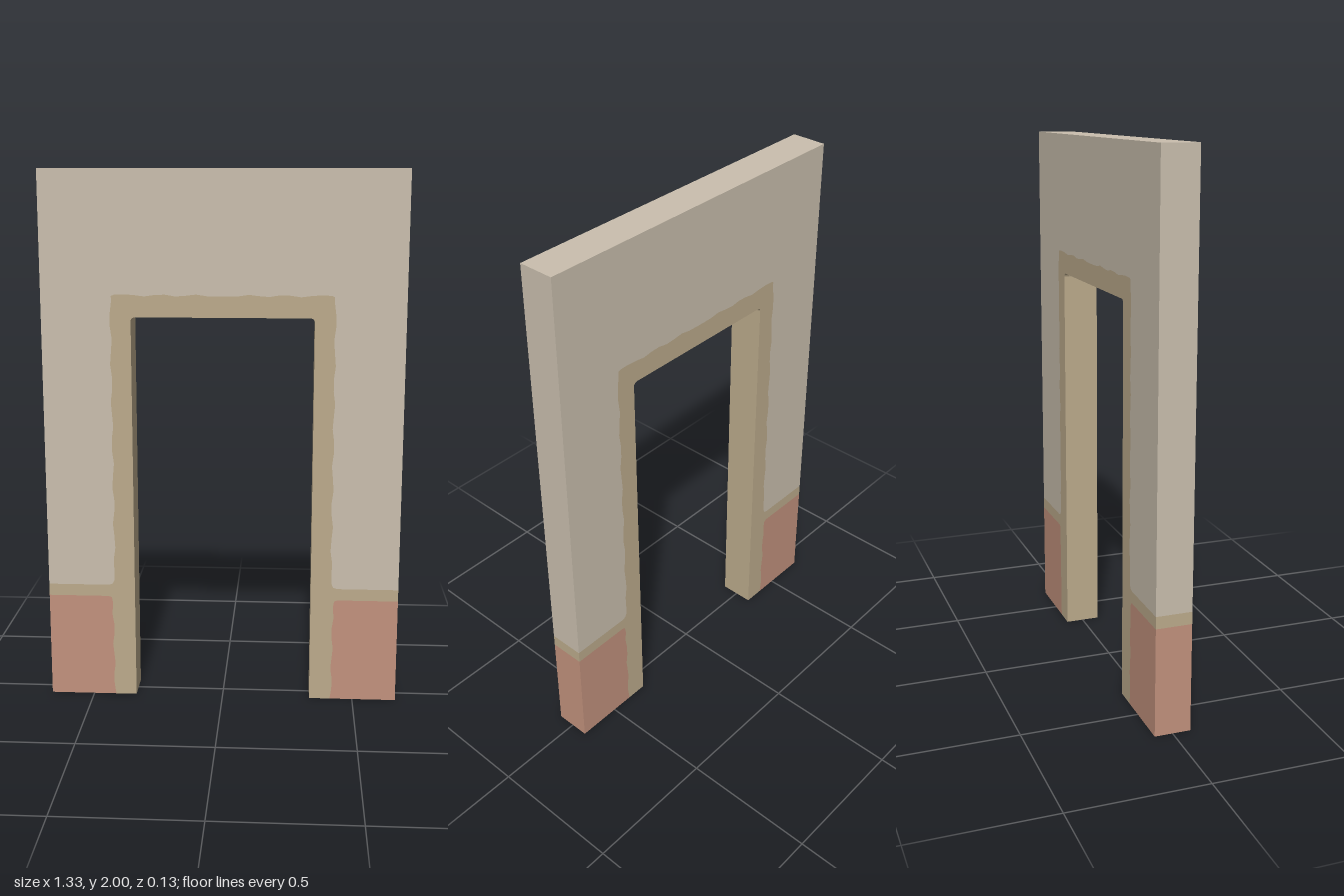
import * as THREE from 'three';

const HALF_W = 0.665, HEIGHT = 2, DEPTH = 0.133;
const OPEN_X = 0.335, OPEN_Y = 1.47, ROUND = 0.015;

const mirror = (pts) => pts.map(([x, y]) => [-x, y]).reverse();

// slightly uneven hand-painted edge between two points
function wavy(a, b, steps, nx, ny, phase) {
  const pts = [];
  for (let i = 0; i <= steps; i++) {
    const t = i / steps;
    const w = 0.004 * Math.sin(t * steps * 1.9 + phase);
    pts.push([a[0] + (b[0] - a[0]) * t + nx * w, a[1] + (b[1] - a[1]) * t + ny * w]);
  }
  return pts;
}

function slab(name, pts, material) {
  const shape = new THREE.Shape(pts.map(([x, y]) => new THREE.Vector2(x, y)));
  const geo = new THREE.ExtrudeGeometry(shape, { depth: DEPTH, bevelEnabled: false });
  geo.translate(0, 0, -DEPTH / 2);
  const mesh = new THREE.Mesh(geo, material);
  mesh.name = name;
  return mesh;
}

export function createModel() {
  const plaster = new THREE.MeshStandardMaterial({ name: 'plaster', color: 0xcabfae });
  const trim = new THREE.MeshStandardMaterial({ name: 'tan trim', color: 0xbcab8c });
  const brick = new THREE.MeshStandardMaterial({ name: 'terracotta', color: 0xc2927d });

  // border between plaster and trim, from the outer side up to the top centre
  const plasterEdge = [
    [HALF_W, 0.445], [0.435, 0.445], [0.42, 0.45], [0.413, 0.465],
    ...wavy([0.411, 0.5], [0.409, 1.53], 22, 1, 0, 0.4),
    [0.406, 1.547], [0.395, 1.552],
    ...wavy([0.36, 1.55], [0.02, 1.55], 9, 0, 1, 1),
  ];
  // border between trim and the terracotta base, from the outer side to the floor
  const baseEdge = [
    [HALF_W, 0.4], [0.437, 0.4], [0.424, 0.395],
    ...wavy([0.42, 0.37], [0.418, 0], 9, 1, 0, 0).map(([x, y]) => [x, Math.max(y, 0)]),
  ];
  // doorway outline with slightly rounded upper corners
  const opening = [[OPEN_X, 0]];
  for (let i = 0; i <= 4; i++) {
    const a = (i / 4) * Math.PI / 2;
    opening.push([OPEN_X - ROUND + ROUND * Math.cos(a), OPEN_Y - ROUND + ROUND * Math.sin(a)]);
  }

  const group = new THREE.Group();
  group.name = 'doorwayWall';

  // upper plaster wall
  group.add(slab('plasterWall', [
    ...plasterEdge, ...mirror(plasterEdge), [-HALF_W, HEIGHT], [HALF_W, HEIGHT],
  ], plaster));

  // trim around the doorway and the thin bands above the base
  group.add(slab('doorwayTrim', [
    ...plasterEdge, ...mirror(plasterEdge),
    ...mirror([...baseEdge].reverse()), ...mirror(opening).reverse(),
    ...[...opening].reverse(), ...[...baseEdge].reverse(),
  ], trim));

  // terracotta base of each leg
  const basePts = [...baseEdge, [HALF_W, 0]];
  group.add(slab('leftBase', basePts, brick));
  group.add(slab('rightBase', mirror(basePts), brick));

  return group;
}
